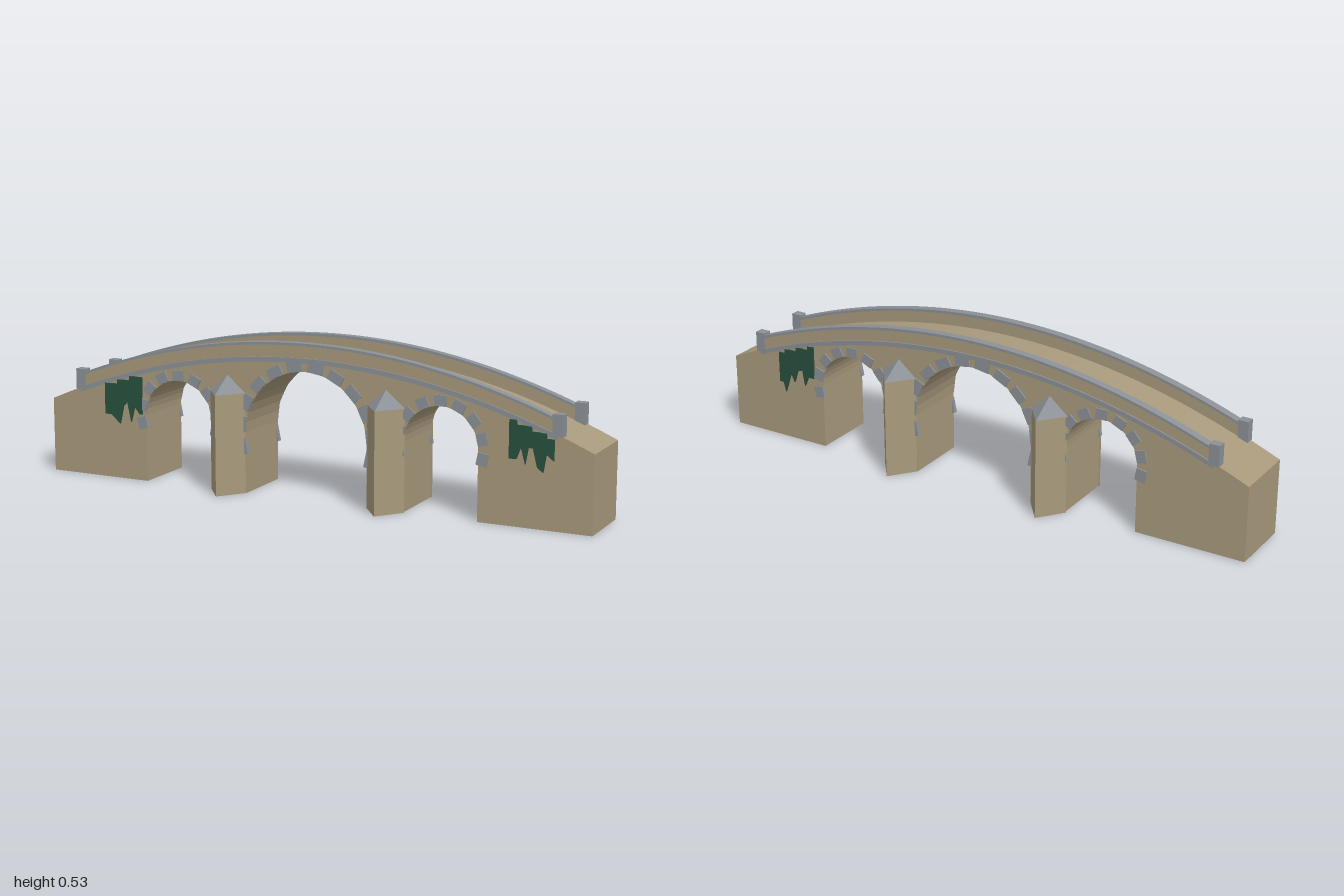
import * as THREE from 'three';
import { ConvexGeometry } from 'three/addons/geometries/ConvexGeometry.js';

const HALF = 0.115; // half width of the bridge body
const deckY = (x) => 0.48 - 0.22 * x * x;

function material(name, color) {
  const m = new THREE.MeshStandardMaterial({ color });
  m.name = name;
  return m;
}

// Extrude a list of [x, y] points between two z values
function slab(points, z0, z1) {
  const shape = new THREE.Shape(points.map(([x, y]) => new THREE.Vector2(x, y)));
  const g = new THREE.ExtrudeGeometry(shape, { depth: z1 - z0, bevelEnabled: false });
  return g.translate(0, 0, z0);
}

// Points of the deck curve from x0 to x1, shifted vertically
function deckLine(x0, x1, offset, n = 40) {
  return Array.from({ length: n + 1 }, (_, i) => {
    const x = x0 + ((x1 - x0) * i) / n;
    return [x, deckY(x) + offset];
  });
}

// Curved band that follows the deck
function band(low, high, reach, z0, z1) {
  return slab([...deckLine(-reach, reach, low), ...deckLine(reach, -reach, high)], z0, z1);
}

export function createModel() {
  const root = new THREE.Group();
  root.name = 'archBridge';
  const stone = material('sandstone', 0xa8997c);
  const trim = material('greyStone', 0x8b9196);
  const leaf = material('ivyGreen', 0x27503e);

  function add(name, geometry, mat, parent = root) {
    const mesh = new THREE.Mesh(geometry, mat);
    mesh.name = name;
    parent.add(mesh);
    return mesh;
  }

  const arches = [
    { x: -0.485, y: 0.235, r: 0.13, stones: 9, length: 0.042 },
    { x: 0, y: 0.21, r: 0.225, stones: 12, length: 0.055 },
    { x: 0.485, y: 0.235, r: 0.13, stones: 9, length: 0.042 },
  ];

  // Body outline with three round arches cut from the base
  const outline = [[-1, 0]];
  for (const a of arches) {
    outline.push([a.x - a.r, 0]);
    for (let i = 0; i <= 20; i++) {
      const t = Math.PI * (1 - i / 20);
      outline.push([a.x + a.r * Math.cos(t), a.y + a.r * Math.sin(t)]);
    }
    outline.push([a.x + a.r, 0]);
  }
  outline.push([1, 0], ...deckLine(1, -1, 0));
  add('bridgeBody', slab(outline, -HALF, HALF), stone);

  for (const side of [1, -1]) {
    // Each side is made facing +z; the back one is turned half way round
    const face = new THREE.Group();
    face.name = side > 0 ? 'frontFace' : 'backFace';
    face.rotation.y = side > 0 ? 0 : Math.PI;
    root.add(face);

    // Parapet wall, coping and string course
    add('parapetWall', band(-0.004, 0.042, 0.88, 0.093, HALF), stone, face);
    add('parapetCoping', band(0.041, 0.05, 0.88, 0.09, 0.119), trim, face);
    add('stringCourse', band(-0.016, 0, 0.88, HALF - 0.005, 0.12), trim, face);

    for (const x of [-0.88, 0.88]) {
      const post = add('endPost', new THREE.BoxGeometry(0.036, 0.072, 0.032), trim, face);
      post.position.set(x, 0.339, 0.104);
    }

    // Spaced arch stones, running a little below the springing
    for (const a of arches) {
      for (let i = 0; i < a.stones; i++) {
        const t = -0.2 + ((Math.PI + 0.4) * i) / (a.stones - 1);
        const r = a.r + 0.018;
        const block = add('archStone', new THREE.BoxGeometry(0.036, a.length, 0.015), trim, face);
        block.position.set(a.x + r * Math.cos(t), a.y + r * Math.sin(t), 0.1125);
        block.rotation.z = t;
      }
    }

    // Pointed cutwaters with sloping caps
    for (const x of [-0.293, 0.293]) {
      const w = 0.067, h = 0.345, tip = 0.202;
      const prism = new THREE.Shape([
        new THREE.Vector2(-w, -HALF),
        new THREE.Vector2(0, -tip),
        new THREE.Vector2(w, -HALF),
      ]);
      const g = new THREE.ExtrudeGeometry(prism, { depth: h, bevelEnabled: false });
      add('cutwater', g.rotateX(-Math.PI / 2), stone, face).position.x = x;
      const cap = new ConvexGeometry([
        new THREE.Vector3(-w, h, HALF),
        new THREE.Vector3(w, h, HALF),
        new THREE.Vector3(0, h, tip),
        new THREE.Vector3(0, 0.402, HALF),
      ]);
      add('cutwaterCap', cap, trim, face).position.x = x;
    }
  }

  // Ivy sheets: stepped top under the string course, ragged lower edge
  function ivy(ragged, z) {
    const x0 = ragged[0][0], x1 = ragged[ragged.length - 1][0];
    const top = [];
    for (let i = 5; i >= 0; i--) {
      const a = x0 + ((x1 - x0) * i) / 6, b = x0 + ((x1 - x0) * (i + 1)) / 6;
      const y = deckY((a + b) / 2) - 0.016 - (i % 2) * 0.008;
      top.push([b, y], [a, y]);
    }
    add('ivy', slab([...ragged, ...top], z - 0.003, z + 0.003), leaf);
  }
  const leftEdge = [
    [-0.78, 0.225], [-0.755, 0.225], [-0.72, 0.195], [-0.705, 0.26], [-0.69, 0.275],
    [-0.675, 0.205], [-0.66, 0.26], [-0.64, 0.235], [-0.63, 0.235],
  ];
  const rightEdge = [
    [0.72, 0.22], [0.745, 0.22], [0.76, 0.26], [0.775, 0.205], [0.785, 0.26],
    [0.8, 0.26], [0.815, 0.2], [0.835, 0.185], [0.845, 0.245], [0.87, 0.225],
  ];
  const backEdge = [
    [0.65, 0.25], [0.675, 0.25], [0.69, 0.215], [0.7, 0.27], [0.72, 0.265],
    [0.735, 0.22], [0.75, 0.25], [0.775, 0.175], [0.785, 0.21], [0.8, 0.21],
  ];
  ivy(leftEdge, 0.118);
  ivy(rightEdge, 0.118);
  ivy(backEdge, -0.118);

  return root;
}
